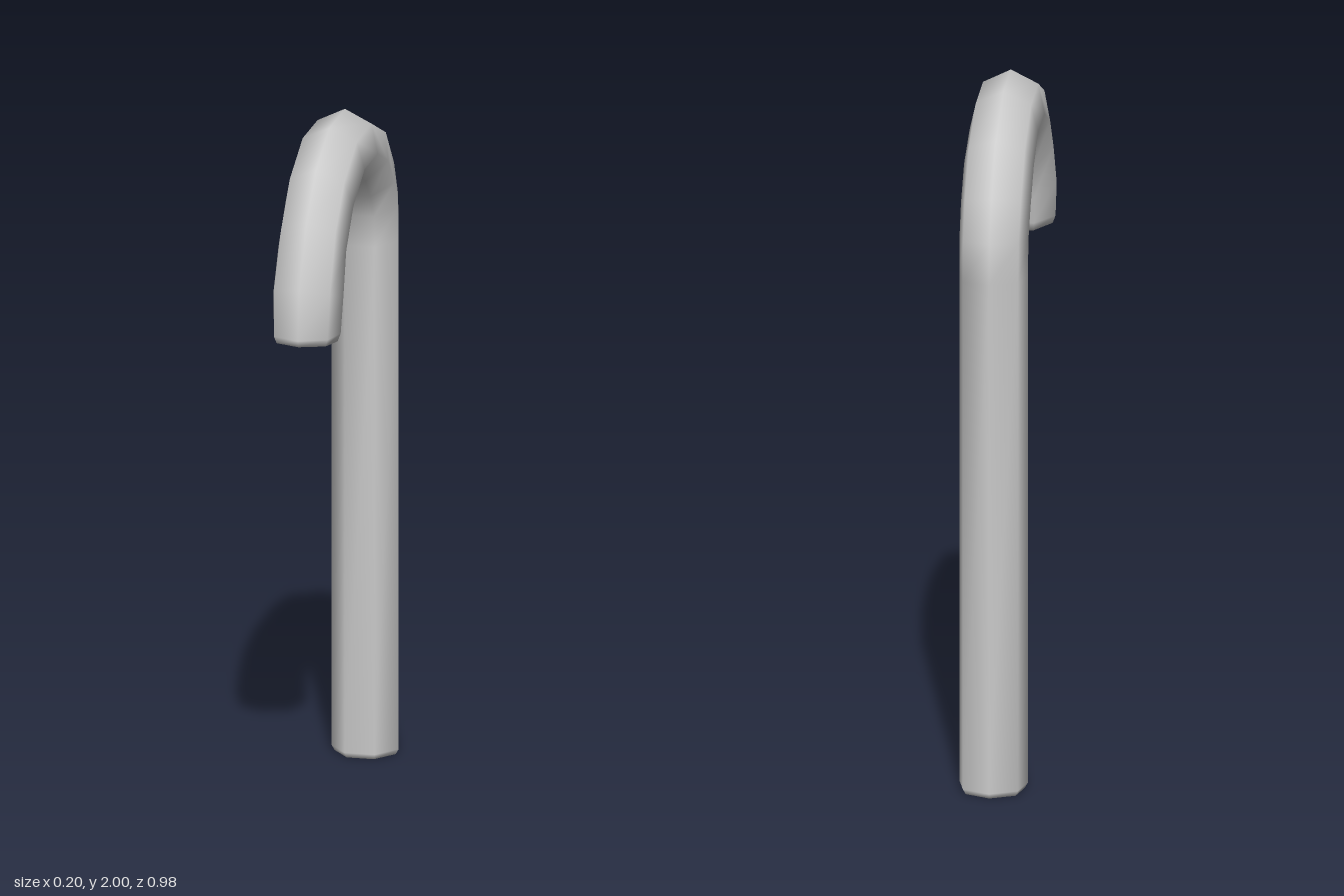
import * as THREE from 'three';

const SIDES = 7;

// Stations along the cane: [outer z, outer y, inner z, inner y]
const STATIONS = [
  [-0.48, 0, -0.306, 0],            // bevelled foot
  [-0.49, 0.016, -0.298, 0.016],
  [-0.49, 1.535, -0.298, 1.53],     // end of straight shaft
  [-0.48, 1.656, -0.29, 1.624],     // hook
  [-0.423, 1.773, -0.243, 1.698],
  [-0.307, 1.91, -0.18, 1.762],
  [-0.11, 1.997, -0.09, 1.806],
  [0.09, 2.0, 0.058, 1.81],
  [0.26, 1.926, 0.19, 1.746],
  [0.38, 1.805, 0.265, 1.65],
  [0.477, 1.63, 0.292, 1.555],
  [0.493, 1.485, 0.303, 1.475],     // bevelled tip
  [0.485, 1.465, 0.312, 1.45],
];

function createCaneGeometry() {
  const positions = [];
  const index = [];
  const centres = [];
  const flat = Math.cos(Math.PI / SIDES); // distance to the flat inner side

  // Heptagonal rings with one corner on the outer side of the bend
  for (const [oz, oy, iz, iy] of STATIONS) {
    const out = new THREE.Vector3(0, oy - iy, oz - iz);
    const radius = out.length() / (1 + flat);
    out.normalize();
    const centre = new THREE.Vector3(0, oy, oz).addScaledVector(out, -radius);
    centres.push(centre);
    for (let i = 0; i < SIDES; i++) {
      const a = (i / SIDES) * Math.PI * 2;
      const p = centre.clone().addScaledVector(out, radius * Math.cos(a));
      positions.push(radius * Math.sin(a), p.y, p.z);
    }
  }

  // Side walls
  const last = STATIONS.length - 1;
  for (let r = 0; r < last; r++) {
    for (let i = 0; i < SIDES; i++) {
      const j = (i + 1) % SIDES;
      const a = r * SIDES + i, b = r * SIDES + j;
      index.push(a, a + SIDES, b, b, a + SIDES, b + SIDES);
    }
  }

  // End caps
  const foot = positions.length / 3;
  positions.push(...centres[0].toArray(), ...centres[last].toArray());
  for (let i = 0; i < SIDES; i++) {
    const j = (i + 1) % SIDES;
    index.push(foot, i, j);
    index.push(foot + 1, last * SIDES + j, last * SIDES + i);
  }

  const geometry = new THREE.BufferGeometry();
  geometry.setAttribute('position', new THREE.Float32BufferAttribute(positions, 3));
  geometry.setIndex(index);
  geometry.computeVertexNormals();
  return geometry;
}

export function createModel() {
  const group = new THREE.Group();
  group.name = 'cane';
  const cane = new THREE.Mesh(
    createCaneGeometry(),
    new THREE.MeshStandardMaterial({ color: 0xcccccc })
  );
  cane.name = 'hookedCane';
  group.add(cane);
  return group;
}
